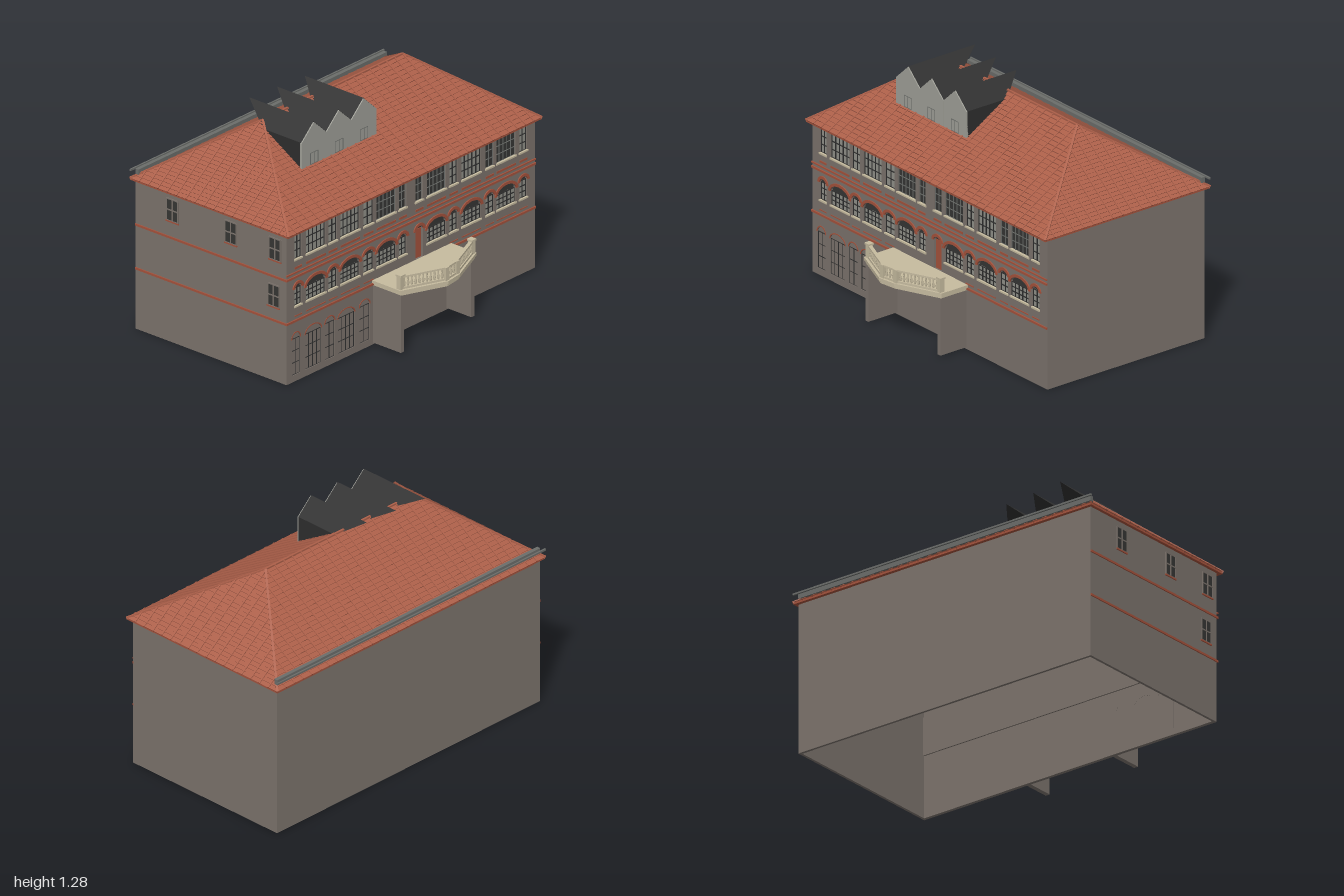
import * as THREE from 'three';

const mat = (name, color, side = THREE.FrontSide) => {
  const m = new THREE.MeshStandardMaterial({ color, side });
  m.name = name;
  return m;
};

export function createModel() {
  const root = new THREE.Group();
  root.name = 'building';
  const M = {
    wall: mat('wallPlaster', 0x7c736c),
    brick: mat('redBrick', 0xa5523c),
    tile: mat('roofTile', 0xac5f49),
    stone: mat('paleStone', 0xc6bb9f),
    dark: mat('darkSheet', 0x2e2e2e, THREE.DoubleSide),
    glass: mat('darkGlass', 0x363634),
    curtain: mat('paleGlass', 0x92928a),
    dormer: mat('dormerPlaster', 0xa0a098),
    metal: mat('greyMetal', 0x6b6d6a),
  };
  const V = (x, y, z) => new THREE.Vector3(x, y, z);
  const add = (name, geo, m, parent = root) => {
    const mesh = new THREE.Mesh(geo, m);
    mesh.name = name;
    parent.add(mesh);
    return mesh;
  };
  const group = (name) => {
    const g = new THREE.Group();
    g.name = name;
    root.add(g);
    return g;
  };
  // box given by its limits
  const box = (name, m, x0, x1, y0, y1, z0, z1, parent) => {
    const b = add(name, new THREE.BoxGeometry(x1 - x0, y1 - y0, z1 - z0), m, parent);
    b.position.set((x0 + x1) / 2, (y0 + y1) / 2, (z0 + z1) / 2);
    return b;
  };
  // straight bar from p to q
  const bar = (name, m, p, q, w, h, parent) => {
    const b = add(name, new THREE.BoxGeometry(w, h, p.distanceTo(q)), m, parent);
    b.position.copy(p).lerp(q, 0.5);
    b.lookAt(q);
    return b;
  };
  const extrude = (name, m, shape, z, depth, parent) => {
    const e = add(name, new THREE.ExtrudeGeometry(shape, { depth, bevelEnabled: false, curveSegments: 10 }), m, parent);
    e.position.z = z;
    return e;
  };
  const faces = (pts) => {
    const geo = new THREE.BufferGeometry().setFromPoints(pts);
    geo.computeVertexNormals();
    return geo;
  };
  const quad = (out, a, b, c, d) => out.push(a, b, c, a, c, d);

  // opening with a flat or arched head
  const opening = (x, w, y0, top, rise, S = THREE.Shape) => {
    const s = new S();
    s.moveTo(x - w / 2, y0);
    s.lineTo(x + w / 2, y0);
    s.lineTo(x + w / 2, top - rise);
    if (rise) s.absellipse(x, top - rise, w / 2, rise, 0, Math.PI, false);
    else s.lineTo(x - w / 2, top);
    s.closePath();
    return s;
  };
  const archBand = (x, w, spring, rise, t) => {
    const s = new THREE.Shape();
    s.absellipse(x, spring, w / 2 + t, rise + t, 0, Math.PI, false);
    s.absellipse(x, spring, w / 2, rise, Math.PI, 0, true);
    s.closePath();
    return s;
  };
  const mullions = (x, w, y0, y1, z, nv, nh, m, parent, t = 0.004) => {
    for (let i = 0; i <= nv; i++) {
      const px = x - w / 2 + (w * i) / nv;
      box('windowBar', m, px - t / 2, px + t / 2, y0, y1, z, z + 0.005, parent);
    }
    for (let j = 0; j <= nh; j++) {
      const py = y0 + ((y1 - y0) * j) / nh;
      box('windowBar', m, x - w / 2, x + w / 2, py - t / 2, py + t / 2, z, z + 0.005, parent);
    }
  };

  // walls, open underneath
  const bays = [[-0.89, 0.055], [-0.75, 0.155], [-0.615, 0.065], [-0.48, 0.15], [-0.335, 0.075], [-0.195, 0.15],
    [-0.065, 0.06], [0.065, 0.06], [0.2, 0.15], [0.335, 0.065], [0.475, 0.15], [0.62, 0.065], [0.75, 0.15], [0.885, 0.06]];
  const darkBays = [5, 6, 7, 8, 11, 12];
  const groundBays = [[-0.905, 0.065], [-0.77, 0.125], [-0.64, 0.075], [-0.51, 0.13], [-0.365, 0.08]];
  const groundRise = (w) => (w > 0.1 ? 0.04 : 0.034);
  const front = opening(0, 1.96, 0, 0.87, 0);
  bays.forEach(([x, w], i) => {
    front.holes.push(opening(x, w, 0.705, 0.845, 0, THREE.Path));
    front.holes.push(opening(x, w, i === 7 ? 0.372 : 0.435, 0.56, w > 0.1 ? 0.045 : 0.025, THREE.Path));
  });
  groundBays.forEach(([x, w]) => front.holes.push(opening(x, w, 0.038, 0.28, groundRise(w), THREE.Path)));
  extrude('frontWall', M.wall, front, 0.37, 0.02);
  box('frontWallLining', M.wall, -0.965, 0.965, 0.36, 0.58, 0.362, 0.37);
  box('backWall', M.wall, -0.98, 0.98, 0, 0.87, -0.67, -0.655);
  box('leftWall', M.wall, 0.965, 0.98, 0, 0.87, -0.655, 0.37);
  box('rightWall', M.wall, -0.98, -0.965, 0, 0.87, -0.655, 0.37);

  // front windows
  const windows = group('frontWindows');
  bays.forEach(([x, w], i) => {
    const wide = w > 0.1, isDark = darkBays.includes(i), nv = wide ? 5 : 2;
    box('upperPane', isDark ? M.glass : M.curtain, x - w / 2, x + w / 2, 0.705, 0.845, 0.372, 0.378, windows);
    mullions(x, w, 0.705, 0.845, 0.379, nv, 3, isDark ? M.metal : M.dark, windows, isDark ? 0.002 : 0.004);
    box('upperSill', M.stone, x - w / 2 - 0.005, x + w / 2 + 0.005, 0.697, 0.706, 0.38, 0.396, windows);
    box('brickApron', M.brick, x - w / 2, x + w / 2, 0.648, 0.66, 0.388, 0.393, windows);
    const rise = wide ? 0.045 : 0.025, spring = 0.56 - rise;
    extrude('brickArch', M.brick, archBand(x, w, spring, rise, 0.016), 0.388, 0.008, windows);
    const sill = i === 7 ? 0.372 : 0.435;
    extrude('archPane', M.glass, opening(x, w, sill, 0.56, rise), 0.371, 0.005, windows);
    if (i === 7) {
      box('balconyDoor', M.brick, x - w / 2 + 0.004, x + w / 2 - 0.004, sill, 0.538, 0.374, 0.379, windows);
      return;
    }
    box('middlePane', M.curtain, x - w / 2, x + w / 2, sill, spring, 0.374, 0.378, windows);
    mullions(x, w, sill, spring, 0.379, nv, 3, M.dark, windows);
    box('middleSill', M.stone, x - w / 2 - 0.005, x + w / 2 + 0.005, 0.427, 0.436, 0.38, 0.396, windows);
    if (Math.abs(x) > 0.3) box('brickDash', M.brick, x - w / 2, x + w / 2, 0.374, 0.38, 0.388, 0.393, windows);
  });

  // blind arches on the ground floor
  const blind = group('groundArches');
  groundBays.forEach(([x, w]) => {
    const rise = groundRise(w);
    extrude('blindPanel', M.wall, opening(x, w, 0.038, 0.28, rise), 0.371, 0.012, blind);
    extrude('groundArch', M.brick, archBand(x, w, 0.28 - rise, rise, 0.006), 0.388, 0.004, blind);
    mullions(x, w, 0.038, 0.28 - rise, 0.381, w > 0.1 ? 4 : 2, 3, M.dark, blind, 0.003);
  });

  // brick string courses, wrapped around the right side
  [[0.345, 0.357], [0.598, 0.61], [0.626, 0.634]].forEach(([y0, y1]) => {
    box('brickBand', M.brick, -0.985, 0.98, y0, y1, 0.389, 0.397);
    if (y0 < 0.62) box('sideBrickBand', M.brick, -0.986, -0.98, y0, y1, -0.67, 0.39);
  });

  // windows in the right side wall
  [[-0.41, 0.7], [0, 0.7], [0.31, 0.7], [0.3, 0.43]].forEach(([z, y]) => {
    const g = group('sideWindow');
    g.position.set(-0.98, 0, z);
    g.rotation.y = -Math.PI / 2;
    box('sidePane', M.glass, -0.04, 0.04, y, y + 0.125, 0, 0.002, g);
    mullions(0, 0.08, y, y + 0.125, 0, 2, 2, M.wall, g, 0.007);
    box('sideSill', M.brick, -0.045, 0.045, y - 0.008, y, 0, 0.006, g);
  });

  // hipped roof: each slope is laid in overlapping tile courses with raised ribs
  const slope = (name, a, b, c, d) => {
    const g = group(name), N = 24, pts = [];
    const e = b.clone().sub(a), L = e.length();
    e.normalize();
    const n = e.clone().cross(c.clone().sub(a)).normalize();
    const lift = n.clone().multiplyScalar(0.004);
    const p = c.clone().sub(a).dot(e), q = b.clone().sub(d).dot(e);
    const up = c.clone().sub(a).addScaledVector(e, -p);
    for (let k = 0; k < N; k++) {
      const l0 = a.clone().lerp(c, k / N), r0 = b.clone().lerp(d, k / N);
      const l1 = a.clone().lerp(c, (k + 1) / N), r1 = b.clone().lerp(d, (k + 1) / N);
      const l = l0.clone().add(lift), r = r0.clone().add(lift);
      quad(pts, l, r, r1, l1);
      quad(pts, l0, r0, r, l);
    }
    add('tileCourses', faces(pts), M.tile, g);
    const count = Math.round(L / 0.064);
    for (let i = 1; i < count; i++) {
      const u = (L * i) / count, t = Math.min(1, u / p, (L - u) / q);
      const s = a.clone().addScaledVector(e, u).addScaledVector(n, 0.001);
      bar('tileRib', M.tile, s, s.clone().addScaledVector(up, t), 0.008, 0.011, g);
    }
  };
  const eaveY = 0.87, E = [V(-1, eaveY, 0.42), V(1, eaveY, 0.42), V(1, eaveY, -0.692), V(-1, eaveY, -0.692)];
  const R0 = V(-0.55, 1.215, -0.16), R1 = V(0.55, 1.215, -0.16);
  slope('frontSlope', E[0], E[1], R0, R1);
  slope('leftSlope', E[1], E[2], R1, R1);
  slope('backSlope', E[2], E[3], R1, R0);
  slope('rightSlope', E[3], E[0], R0, R0);
  [[E[0], R0], [E[1], R1], [E[2], R1], [E[3], R0], [R0, R1]].forEach(([p, q]) => bar('ridgeTiles', M.tile, p, q, 0.012, 0.013));
  box('eaves', M.brick, -0.998, 0.998, 0.86, 0.872, -0.69, 0.418);

  // rear gutter
  box('rearGutter', M.metal, -0.98, 0.98, 0.895, 0.925, -0.672, -0.65);
  box('rearRail', M.metal, -1, 1, 0.912, 0.922, -0.695, -0.686);

  // three gabled dormers
  for (let i = 0; i < 3; i++) {
    const g = group('dormer'), x0 = -0.585 + i * 0.1965, x1 = x0 + 0.194, xm = (x0 + x1) / 2;
    const s = new THREE.Shape([[x0, 1.032], [x1, 1.032], [x1, 1.185], [xm, 1.275], [x0, 1.185]].map((v) => new THREE.Vector2(...v)));
    extrude('gableFront', M.dormer, s, 0.132, 0.013, g);
    mullions(xm, 0.06, 1.04, 1.105, 0.142, 2, 1, M.metal, g, 0.003);
    const zf = 0.14, zb = -0.31 + i * 0.02, ze = -0.13, pts = [];
    for (const x of [x0, x1]) {
      quad(pts, V(x, 1.187, zf), V(x, 1.187, ze), V(xm, 1.278, zb), V(xm, 1.278, zf));
      pts.push(V(x, 1.187, zf), V(x, 1.03, zf), V(x, 1.187, ze));
    }
    add('dormerRoof', faces(pts), M.dark, g);
  }

  // balcony slab on two side piers
  const balcony = group('balcony');
  const edge = [[-0.305, 0.39], [-0.305, 0.588], [-0.045, 0.695], [0.06, 0.68], [0.318, 0.568], [0.318, 0.39]];
  [[1, 0.355, 0.017], [0.975, 0.34, 0.015]].forEach(([k, y, h]) => {
    const s = new THREE.Shape(edge.map(([x, z]) => new THREE.Vector2(x * k, -(0.39 + (z - 0.39) * k))));
    const m = extrude('balconySlab', M.stone, s, 0, h, balcony);
    m.rotation.x = -Math.PI / 2;
    m.position.y = y;
  });
  box('balconyPier', M.wall, -0.298, -0.272, 0.01, 0.342, 0.39, 0.585, balcony);
  box('balconyPier', M.wall, 0.279, 0.305, 0.01, 0.342, 0.39, 0.565, balcony);

  // balustrade
  const posts = [[-0.284, 0.57], [-0.04, 0.671], [0.055, 0.658], [0.294, 0.555]];
  const profile = [[0.004, 0], [0.008, 0.018], [0.004, 0.036], [0.006, 0.058]].map((v) => new THREE.Vector2(...v));
  const baluster = new THREE.LatheGeometry(profile, 6);
  posts.forEach(([x, z], i) => {
    box('balconyPost', M.stone, x - 0.014, x + 0.014, 0.37, 0.447, z - 0.014, z + 0.014, balcony);
    if (i % 3 === 0) box('postCap', M.stone, x - 0.018, x + 0.018, 0.446, 0.456, z - 0.018, z + 0.018, balcony);
    if (i === 3) return;
    const [x2, z2] = posts[i + 1];
    [[0.378, 0.012], [0.442, 0.01]].forEach(([y, h]) => bar('balconyRail', M.stone, V(x, y, z), V(x2, y, z2), 0.02, h, balcony));
    const n = Math.round(Math.hypot(x2 - x, z2 - z) / 0.022);
    for (let k = 1; k < n; k++) {
      const b = add('baluster', baluster, M.stone, balcony);
      b.position.set(x + ((x2 - x) * k) / n, 0.38, z + ((z2 - z) * k) / n);
    }
  });
  return root;
}
